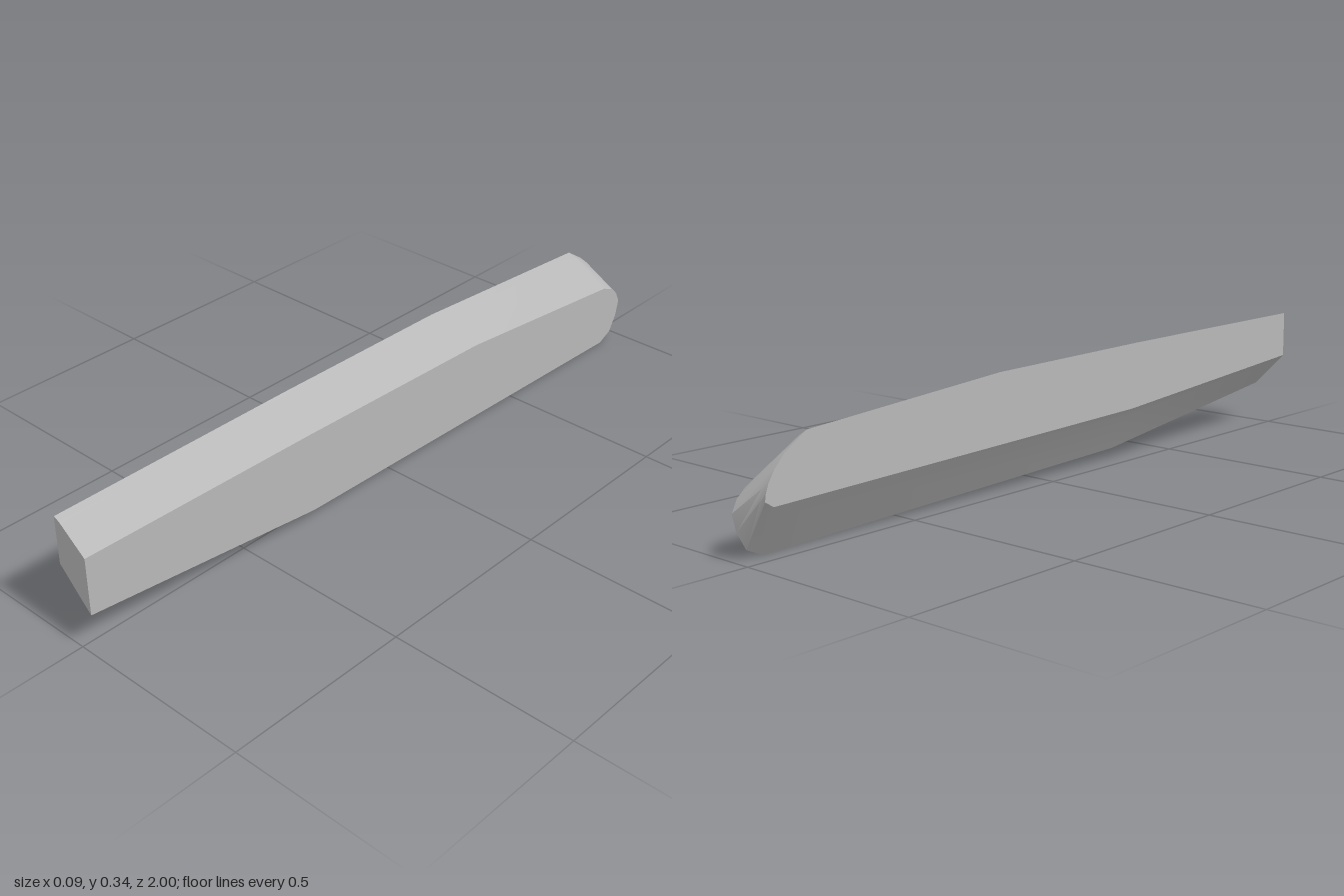
import * as THREE from 'three';
import { toCreasedNormals } from 'three/addons/utils/BufferGeometryUtils.js';

// Side outlines as [z, y], from the front top corner, over the rounded rear, back to the front bottom
const HALF_WIDTH = 0.047;
const highSide = [
  [1, 0.343], [0.3, 0.341], [-0.25, 0.334], [-0.863, 0.292], [-0.925, 0.252], [-0.955, 0.22],
  [-0.972, 0.193], [-0.981, 0.17], [-0.983, 0.153], [-0.96, 0.138], [0.27, 0.163], [1, 0.215],
];
const lowSide = [
  [1, 0.275], [0.3, 0.262], [-0.33, 0.244], [-0.92, 0.185], [-0.96, 0.168], [-0.985, 0.145],
  [-1, 0.115], [-0.99, 0.07], [-0.965, 0.025], [-0.92, 0.004], [0.3, 0.035], [1, 0.12],
];

// Section between the two sides, with the top swelling slightly
function blend(t, swell) {
  return highSide.map(([z, y], i) => [
    THREE.MathUtils.lerp(z, lowSide[i][0], t),
    THREE.MathUtils.lerp(y, lowSide[i][1], t) + (i < 5 ? swell : 0),
  ]);
}

function loft(sections) {
  const n = sections[0].points.length;
  const positions = [];
  const index = [];
  for (const { x, points } of sections) {
    for (const [z, y] of points) positions.push(x, y, z);
  }
  // Top, rear, underside and front end
  for (let s = 0; s < sections.length - 1; s++) {
    for (let i = 0; i < n; i++) {
      const j = (i + 1) % n;
      const a = s * n + i, b = a + n, c = (s + 1) * n + j, d = s * n + j;
      index.push(a, b, c, a, c, d);
    }
  }
  // Flat sides
  const last = (sections.length - 1) * n;
  for (let i = 1; i < n - 1; i++) {
    index.push(0, i, i + 1, last, last + i + 1, last + i);
  }
  const geometry = new THREE.BufferGeometry();
  geometry.setAttribute('position', new THREE.Float32BufferAttribute(positions, 3));
  geometry.setIndex(index);
  return toCreasedNormals(geometry, 0.55);
}

export function createModel() {
  const group = new THREE.Group();
  group.name = 'slantedBar';
  const grey = new THREE.MeshStandardMaterial({ color: 0xb8b8b8 });
  grey.name = 'plain grey';

  const bar = new THREE.Mesh(loft([
    { x: -HALF_WIDTH, points: highSide },
    { x: -0.03, points: blend(0.18, 0.004) },
    { x: HALF_WIDTH, points: lowSide },
  ]), grey);
  bar.name = 'bar';
  group.add(bar);
  return group;
}
